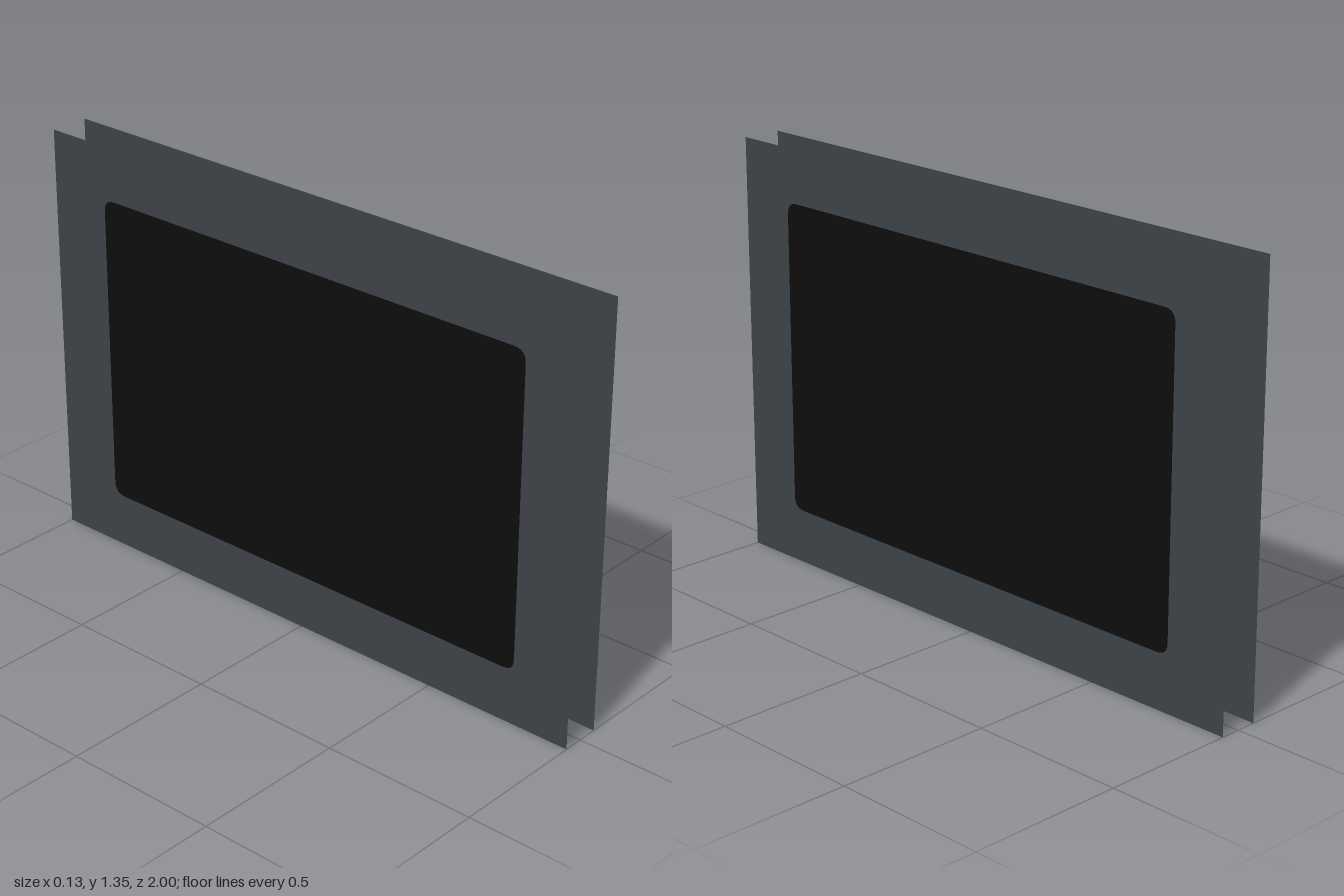
import * as THREE from 'three';

const frameGrey = new THREE.MeshStandardMaterial({ color: 0x3d4248, side: THREE.DoubleSide });
frameGrey.name = 'frameGrey';
const panelBlack = new THREE.MeshStandardMaterial({ color: 0x0d0d0d, side: THREE.DoubleSide });
panelBlack.name = 'panelBlack';

const HALF_GAP = 0.064, HEIGHT = 1.345;

// Outline drawn with u = -z and v = y
function roundedRect(Kind, u0, u1, v0, v1, r) {
  const s = new Kind();
  s.moveTo(u0 + r, v0);
  s.lineTo(u1 - r, v0);
  s.quadraticCurveTo(u1, v0, u1, v0 + r);
  s.lineTo(u1, v1 - r);
  s.quadraticCurveTo(u1, v1, u1 - r, v1);
  s.lineTo(u0 + r, v1);
  s.quadraticCurveTo(u0, v1, u0, v1 - r);
  s.lineTo(u0, v0 + r);
  s.quadraticCurveTo(u0, v0, u0 + r, v0);
  return s;
}

function sheet(name, shape, material, x) {
  const mesh = new THREE.Mesh(new THREE.ShapeGeometry(shape, 6).rotateY(Math.PI / 2), material);
  mesh.name = name;
  mesh.position.x = x;
  return mesh;
}

export function createModel() {
  const model = new THREE.Group();
  model.name = 'framedPanel';
  const opening = [-0.805, 0.79, 0.175, 1.175, 0.04];

  // Two paper-thin outer sheets: grey border around a dark rounded panel
  for (const side of [1, -1]) {
    const face = new THREE.Group();
    face.name = side > 0 ? 'leftFace' : 'rightFace';
    const border = new THREE.Shape([
      new THREE.Vector2(-1, 0), new THREE.Vector2(1, 0),
      new THREE.Vector2(1, HEIGHT), new THREE.Vector2(-1, HEIGHT),
    ]);
    border.holes.push(roundedRect(THREE.Path, ...opening));
    face.add(sheet('border', border, frameGrey, side * HALF_GAP));
    face.add(sheet('darkPanel', roundedRect(THREE.Shape, ...opening), panelBlack, side * HALF_GAP));
    model.add(face);
  }

  // Core slab between the sheets: grey top and bottom, dark elsewhere
  const x0 = -0.062, x1 = 0.037, y0 = 0.146, y1 = 1.182, z0 = -0.828, z1 = 0.812;
  const core = new THREE.Mesh(
    new THREE.BoxGeometry(x1 - x0, y1 - y0, z1 - z0),
    [panelBlack, panelBlack, frameGrey, frameGrey, panelBlack, panelBlack],
  );
  core.name = 'coreSlab';
  core.position.set((x0 + x1) / 2, (y0 + y1) / 2, (z0 + z1) / 2);
  model.add(core);

  return model;
}
